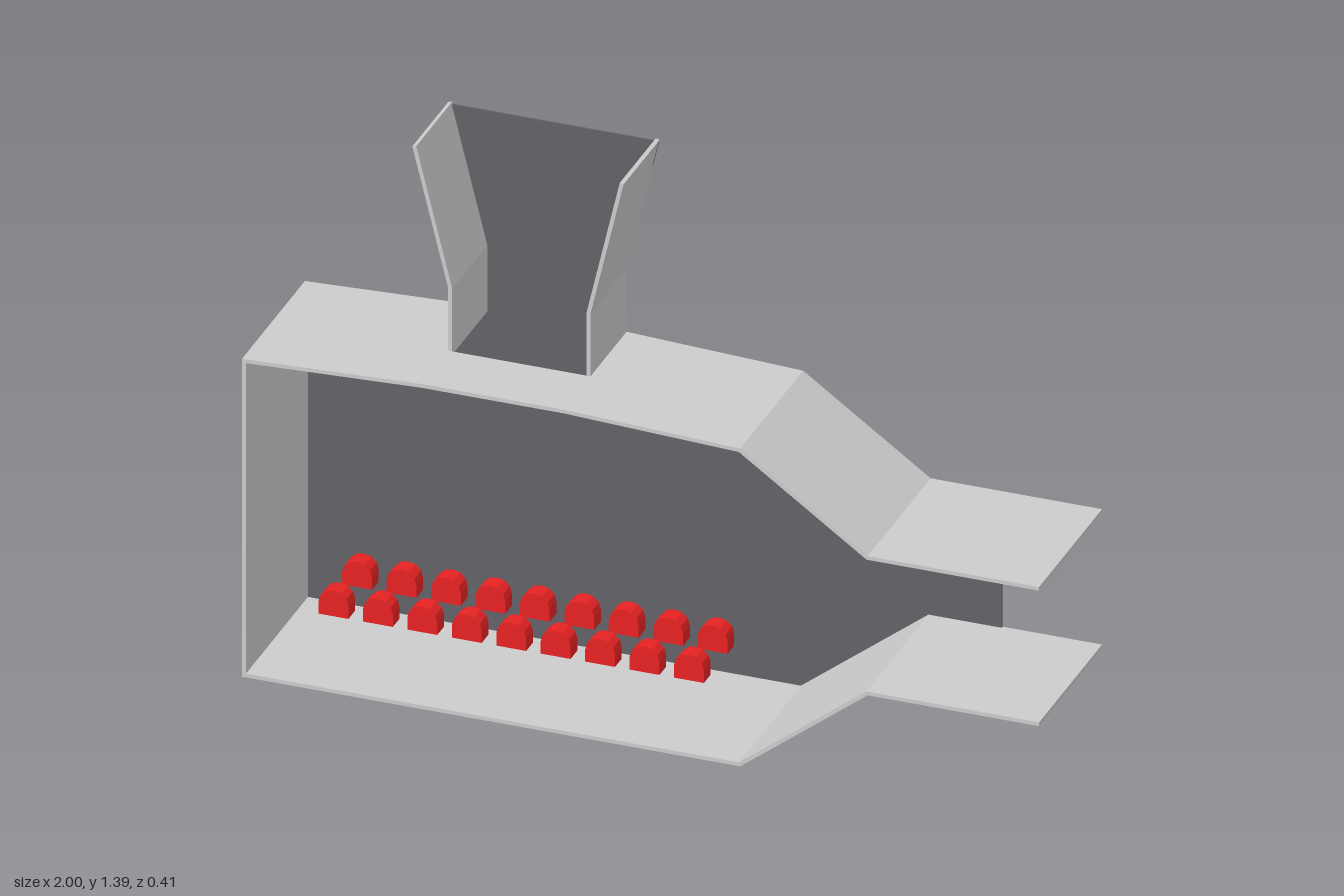
import * as THREE from 'three';

const D = 0.207;   // half depth of the chamber
const T = 0.01;    // sheet thickness
const CZ = 0.03;   // front edge of the chimney walls

const grey = new THREE.MeshStandardMaterial({ color: 0xcccccc, side: THREE.DoubleSide });
const dark = new THREE.MeshStandardMaterial({ color: 0x626268, side: THREE.DoubleSide });
const red = new THREE.MeshStandardMaterial({ color: 0xe82222 });

function extrude(points, z0, z1) {
  const shape = new THREE.Shape(points.map(p => new THREE.Vector2(p[0], p[1])));
  const geo = new THREE.ExtrudeGeometry(shape, { depth: z1 - z0, bevelEnabled: false });
  return geo.translate(0, 0, z0);
}

// Bent sheet: thickens a polyline to its right-hand side with mitred corners
function sheet(path, z0, z1) {
  const pts = path.map(p => new THREE.Vector2(p[0], p[1]));
  const normal = i => {
    const d = pts[i + 1].clone().sub(pts[i]).normalize();
    return new THREE.Vector2(d.y, -d.x);
  };
  const inner = pts.map((p, i) => {
    const a = normal(Math.max(i - 1, 0));
    const b = normal(Math.min(i, pts.length - 2));
    const m = a.clone().add(b).normalize();
    return p.clone().addScaledVector(m, T / m.dot(a));
  });
  return extrude([...pts, ...inner.reverse()].map(p => [p.x, p.y]), z0, z1);
}

export function createModel() {
  const group = new THREE.Group();
  const add = (name, geo, mat) => {
    const mesh = new THREE.Mesh(geo, mat);
    mesh.name = name;
    group.add(mesh);
    return mesh;
  };

  // Dark back panel: chamber, chimney and throat in one outline
  add('backPanel', extrude([
    [-0.998, 0.002], [0.25, 0.002], [0.57, 0.238], [0.75, 0.238], [0.75, 0.615],
    [0.565, 0.615], [0.247, 0.838], [-0.195, 0.858], [-0.195, 1.03], [-0.11, 1.388],
    [-0.635, 1.388], [-0.548, 1.03], [-0.548, 0.858], [-0.998, 0.84],
  ], -D + 0.001, -D + 0.006), dark);

  // Chamber shell
  add('endWall', sheet([[-1, 0], [-1, 0.845]], -D, D), grey);
  add('roofLeft', sheet([[-1, 0.845], [-0.55, 0.864]], -D, D), grey);
  add('roofFrontOfChimney', sheet([[-0.55, 0.864], [-0.193, 0.864]], CZ, D), grey);
  add('roofRight', sheet([[-0.193, 0.864], [0.25, 0.845], [0.57, 0.62], [1, 0.62]], -D, D), grey);
  add('floor', sheet([[1, 0.25], [0.57, 0.25], [0.25, 0], [-1, 0]], -D, D), grey);

  // Flared chimney walls
  add('chimneyWallRight', sheet([[-0.55, 0.855], [-0.55, 1.03], [-0.64, 1.39]], -D, CZ), grey);
  add('chimneyWallLeft', sheet([[-0.11, 1.39], [-0.193, 1.03], [-0.193, 0.855]], -D, CZ), grey);

  // Two rows of arched burners
  const w = 0.0375;
  const arch = [[-w, 0.13], [w, 0.13]];
  for (let i = 0; i <= 6; i++) {
    const a = Math.PI * i / 6;
    arch.push([w * Math.cos(a), 0.163 + 0.035 * Math.sin(a)]);
  }
  const burnerGeo = extrude(arch, -0.022, 0.022);
  for (const z of [0.055, -0.1]) {
    for (let i = 0; i < 9; i++) {
      add('burner', burnerGeo, red).position.set(-0.82 + i * 0.1115, 0, z);
    }
  }
  return group;
}
